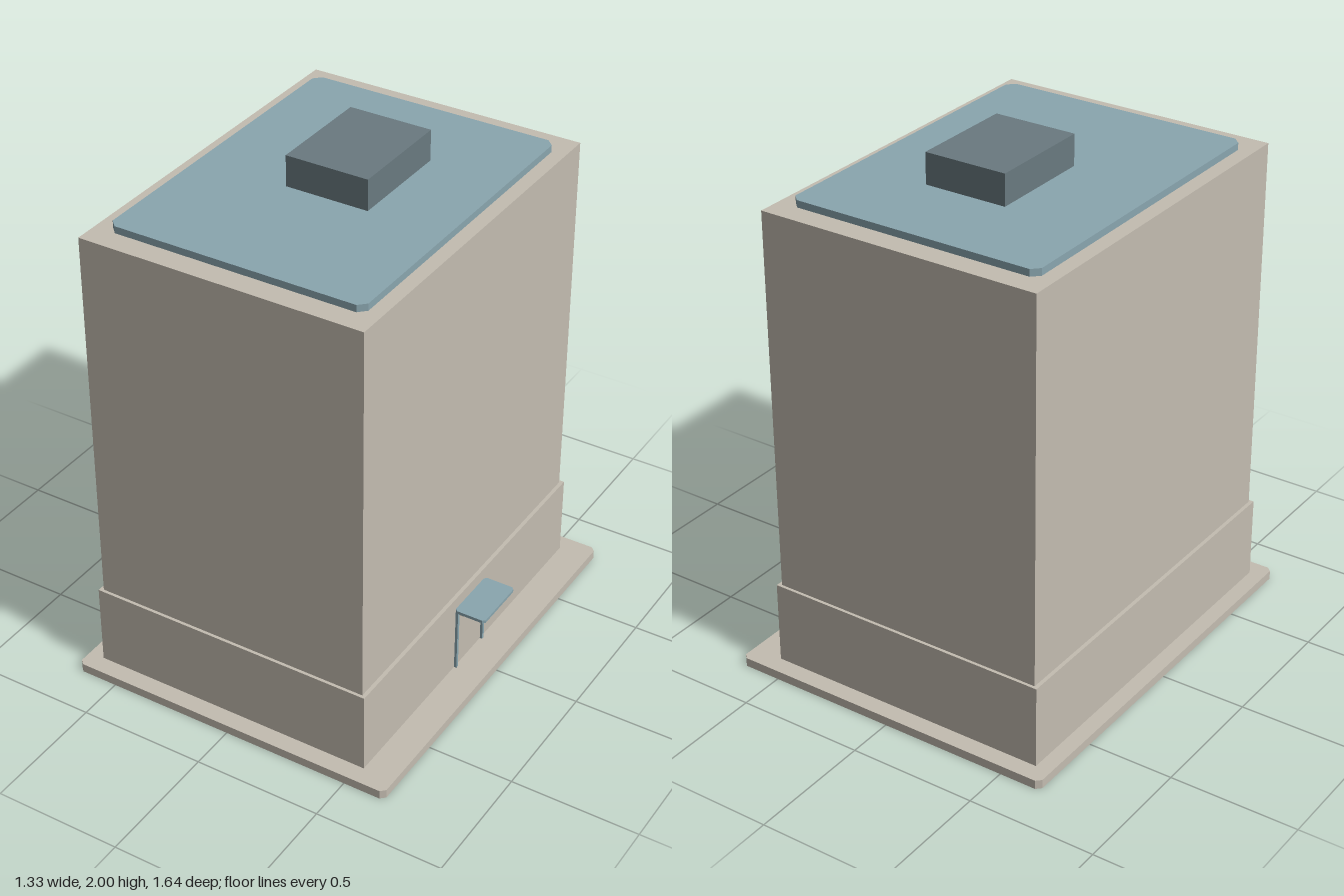
import * as THREE from 'three';

const wall = new THREE.MeshStandardMaterial({ color: 0xc4bdb1 });
wall.name = 'warm stone';
const blue = new THREE.MeshStandardMaterial({ color: 0x8aa6af });
blue.name = 'slate blue';
const dark = new THREE.MeshStandardMaterial({ color: 0x6a7a80 });
dark.name = 'dark grey';

// Box given by its minimum and maximum on each axis
function box(name, material, [x0, x1], [y0, y1], [z0, z1]) {
  const mesh = new THREE.Mesh(new THREE.BoxGeometry(x1 - x0, y1 - y0, z1 - z0), material);
  mesh.position.set((x0 + x1) / 2, (y0 + y1) / 2, (z0 + z1) / 2);
  mesh.name = name;
  return mesh;
}

// Flat slab with cut corners
function slab(name, material, [x0, x1], [y0, y1], [z0, z1], cut) {
  const w = (x1 - x0) / 2, d = (z1 - z0) / 2;
  const outline = new THREE.Shape([
    [w, d - cut], [w - cut, d], [cut - w, d], [-w, d - cut],
    [-w, cut - d], [cut - w, -d], [w - cut, -d], [w, cut - d],
  ].map(([x, y]) => new THREE.Vector2(x, y)));
  const geometry = new THREE.ExtrudeGeometry(outline, { depth: y1 - y0, bevelEnabled: false });
  geometry.rotateX(-Math.PI / 2);
  const mesh = new THREE.Mesh(geometry, material);
  mesh.position.set((x0 + x1) / 2, y0, (z0 + z1) / 2);
  mesh.name = name;
  return mesh;
}

export function createModel() {
  const model = new THREE.Group();
  model.name = 'towerBlock';

  // Main masses, from the ground up
  model.add(
    slab('groundSlab', wall, [-0.665, 0.665], [0, 0.035], [-0.82, 0.82], 0.018),
    box('podium', wall, [-0.603, 0.54], [0.035, 0.36], [-0.75, 0.75]),
    box('tower', wall, [-0.588, 0.525], [0.36, 1.853], [-0.738, 0.738]),
    slab('roofDeck', blue, [-0.53, 0.47], [1.853, 1.88], [-0.65, 0.65], 0.028),
    box('roofPlantRoom', dark, [-0.165, 0.162], [1.88, 2], [-0.3, 0.12]),
  );

  // Side entrance
  const entrance = new THREE.Group();
  entrance.name = 'entrance';
  entrance.add(
    slab('canopy', blue, [0.54, 0.665], [0.301, 0.313], [-0.117, 0.113], 0.01),
    box('lintel', wall, [0.54, 0.57], [0.281, 0.301], [-0.095, 0.093]),
  );
  for (const z of [-0.1, 0.098]) {
    entrance.add(box('doorPost', blue, [0.54, 0.55], [0.035, 0.301], [z - 0.006, z + 0.006]));
  }
  model.add(entrance);
  return model;
}
